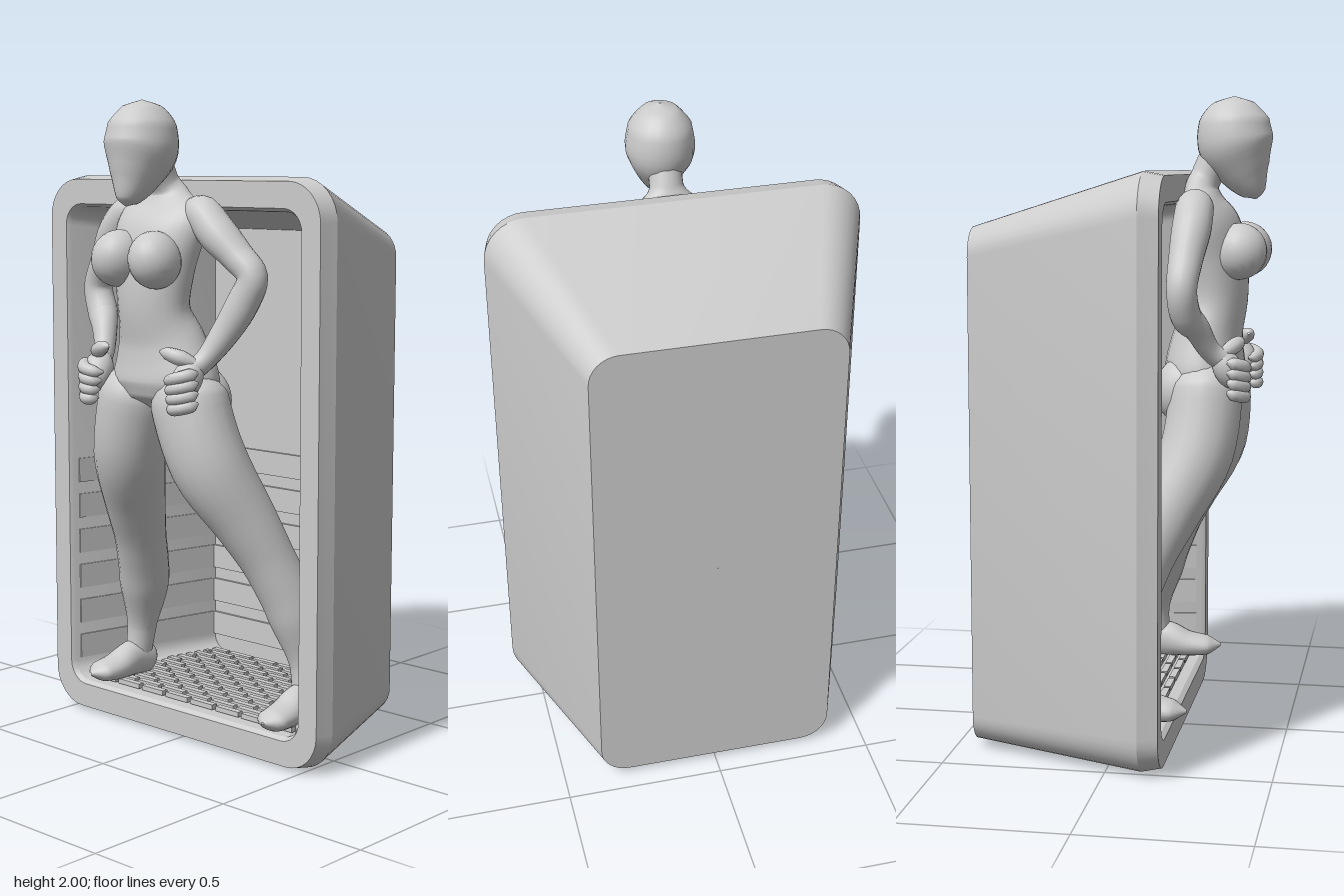
import * as THREE from 'three';
import { mergeGeometries, toCreasedNormals } from 'three/addons/utils/BufferGeometryUtils.js';

const material = new THREE.MeshStandardMaterial({ color: 0xcccccc, roughness: 0.8 });
const V = (x, y, z) => new THREE.Vector3(x, y, z);

function add(parent, name, geometry) {
  const mesh = new THREE.Mesh(geometry, material);
  mesh.name = name;
  parent.add(mesh);
  return mesh;
}

// Surface through closed rings that run clockwise about the direction of travel
function skin(rings) {
  const n = rings[0].length, index = [];
  for (let i = 0; i < rings.length - 1; i++) {
    for (let j = 0; j < n; j++) {
      const k = (j + 1) % n, a = i * n + j, b = i * n + k;
      index.push(a, a + n, b, b, a + n, b + n);
    }
  }
  const g = new THREE.BufferGeometry().setFromPoints(rings.flat());
  g.setIndex(index);
  g.computeVertexNormals();
  return g;
}

// Smooth body form through stations [x, y, z, radius across, radius toward ref]
function sweep(stations, ref = V(0, 0, 1), sides = 20, steps = 5) {
  const path = new THREE.CatmullRomCurve3(stations.map(s => V(s[0], s[1], s[2])));
  const size = new THREE.CatmullRomCurve3(stations.map(s => V(s[3], s[4], 0)));
  const rings = [], count = (stations.length - 1) * steps;
  for (let i = 0; i <= count; i++) {
    const c = path.getPoint(i / count), r = size.getPoint(i / count), t = path.getTangent(i / count);
    const u = t.clone().cross(ref).normalize(), v = u.clone().cross(t);
    const ring = [];
    for (let j = 0; j < sides; j++) {
      const a = j / sides * Math.PI * 2;
      ring.push(c.clone().addScaledVector(u, Math.max(r.x, 0.001) * Math.cos(a))
        .addScaledVector(v, Math.max(r.y, 0.001) * Math.sin(a)));
    }
    rings.push(ring);
  }
  return skin(rings);
}

// Rounded rectangle in a plane of constant z
function roundedRing(hw, y0, y1, r, z) {
  const ring = [], steps = 8;
  const corners = [[hw - r, y1 - r], [hw - r, y0 + r], [-hw + r, y0 + r], [-hw + r, y1 - r]];
  corners.forEach(([x, y], q) => {
    for (let i = 0; i <= steps; i++) {
      const a = Math.PI / 2 * (1 - q - i / steps);
      ring.push(V(x + r * Math.cos(a), y + r * Math.sin(a), z));
    }
  });
  return ring;
}

function ellipsoid(parent, name, pos, radii, rot = [0, 0, 0]) {
  const m = add(parent, name, new THREE.SphereGeometry(1, 20, 14));
  m.position.set(...pos);
  m.scale.set(...radii);
  m.rotation.set(...rot);
  return m;
}

function buildCase() {
  const box = new THREE.Group();
  box.name = 'case';
  // Outer shell, front rim and recess as one continuous skin
  const shell = skin([
    roundedRing(0.001, 0.8, 0.802, 0.0005, -0.435),
    roundedRing(0.38, 0.02, 1.61, 0.09, -0.435),
    roundedRing(0.583, 0, 1.775, 0.13, 0.11),
    roundedRing(0.57, 0.012, 1.763, 0.12, 0.17),
    roundedRing(0.50, 0.09, 1.685, 0.07, 0.17),
    roundedRing(0.49, 0.1, 1.675, 0.06, 0.155),
    roundedRing(0.37, 0.11, 1.595, 0.05, -0.4),
    roundedRing(0.001, 0.8, 0.802, 0.0005, -0.4),
  ]);
  add(box, 'shell', toCreasedNormals(shell, 0.4));

  // Horizontal slats on the back and side walls
  const slats = [];
  const sideAngle = Math.atan2(0.12, 0.555);
  for (let i = 0; i < 6; i++) {
    const y = 0.205 + i * 0.12;
    slats.push(new THREE.BoxGeometry(0.735, 0.08, 0.012).translate(0, y, -0.396));
    for (const s of [-1, 1]) {
      slats.push(new THREE.BoxGeometry(0.01, 0.08, 0.54).rotateY(s * sideAngle)
        .translate(s * 0.43, y, -0.125));
    }
  }
  add(box, 'wallSlats', mergeGeometries(slats));

  // Staggered floor grating
  const bars = [];
  for (let row = 0; row < 14; row++) {
    const z = -0.37 + row * 0.037, half = 0.36 + (z + 0.4) * 0.21 - 0.02;
    const offset = row % 2 ? 0.055 : 0;
    for (let x = -0.55 + offset; x < 0.6; x += 0.11) {
      const a = Math.max(x - 0.048, -half), b = Math.min(x + 0.048, half);
      if (b - a > 0.015) bars.push(new THREE.BoxGeometry(b - a, 0.016, 0.022).translate((a + b) / 2, 0.112, z));
    }
  }
  add(box, 'floorGrating', mergeGeometries(bars));
  return box;
}

function buildArm(side, elbow) {
  const arm = new THREE.Group();
  arm.name = side > 0 ? 'leftArm' : 'rightArm';
  const [ex, ey] = elbow;
  add(arm, 'armForm', sweep([
    [0.09, 1.68, 0.21, 0.03, 0.03], [0.15, 1.665, 0.215, 0.056, 0.058], [0.21, 1.61, 0.215, 0.058, 0.06],
    [(0.21 + ex) / 2 + 0.01, (1.6 + ey) / 2, 0.205, 0.048, 0.052], [ex, ey, 0.2, 0.046, 0.046],
    [ex - 0.03, ey - 0.08, 0.21, 0.05, 0.046], [0.255, 1.31, 0.235, 0.043, 0.04],
    [0.215, 1.235, 0.275, 0.032, 0.033], [0.195, 1.2, 0.32, 0.03, 0.035], [0.19, 1.19, 0.335, 0.002, 0.002],
  ].map(([x, ...rest]) => [side * x, ...rest])));

  // Closed hand resting on the hip
  const hand = new THREE.Group();
  hand.name = 'hand';
  ellipsoid(hand, 'palm', [side * 0.19, 1.18, 0.325], [0.048, 0.066, 0.045], [-0.5, 0, side * -0.2]);
  for (let i = 0; i < 4; i++) {
    add(hand, 'finger', sweep([
      [side * 0.237, 1.205 - i * 0.03, 0.325, 0.004, 0.004], [side * 0.226, 1.2 - i * 0.031, 0.345, 0.02, 0.02],
      [side * (0.2 - i * 0.003), 1.19 - i * 0.031, 0.374, 0.021, 0.02],
      [side * (0.16 + i * 0.004), 1.18 - i * 0.028, 0.368, 0.018, 0.018],
      [side * (0.14 + i * 0.008), 1.18 - i * 0.027, 0.35, 0.003, 0.003],
    ], V(0, 1, 0), 10, 3));
  }
  add(hand, 'thumb', sweep([
    [side * 0.215, 1.225, 0.305, 0.015, 0.015], [side * 0.175, 1.245, 0.335, 0.026, 0.024],
    [side * 0.135, 1.258, 0.352, 0.019, 0.019], [side * 0.108, 1.262, 0.355, 0.003, 0.003],
  ], V(0, 1, 0), 10, 4));
  arm.add(hand);
  return arm;
}

function buildLeg(name, stations, foot) {
  const leg = new THREE.Group();
  leg.name = name;
  add(leg, 'legForm', sweep(stations));
  add(leg, 'foot', sweep(foot, V(0, 1, 0)));
  return leg;
}

function buildFigure() {
  const figure = new THREE.Group();
  figure.name = 'figure';
  // Torso and neck
  add(figure, 'torso', sweep([
    [0.01, 1.055, 0.25, 0.01, 0.01], [0.01, 1.09, 0.24, 0.15, 0.1], [0.01, 1.16, 0.23, 0.195, 0.125],
    [0.005, 1.27, 0.24, 0.16, 0.108], [0, 1.38, 0.27, 0.125, 0.092], [0, 1.5, 0.265, 0.142, 0.095],
    [0, 1.6, 0.245, 0.165, 0.093], [0, 1.67, 0.222, 0.165, 0.07], [0, 1.725, 0.218, 0.09, 0.052],
    [0, 1.765, 0.235, 0.052, 0.05], [0, 1.86, 0.285, 0.052, 0.055],
  ], undefined, 28));
  for (const s of [-1, 1]) {
    ellipsoid(figure, 'breast', [s * 0.077, 1.53, 0.342], [0.078, 0.087, 0.087], [0.15, s * 0.2, s * 0.2]);
    ellipsoid(figure, 'buttock', [s * 0.095 + 0.01, 1.1, 0.175], [0.1, 0.105, 0.09]);
  }
  // Egg-shaped plain head
  add(figure, 'head', sweep([
    [0, 1.688, 0.385, 0.003, 0.003], [0, 1.705, 0.38, 0.032, 0.035], [0, 1.77, 0.35, 0.072, 0.08],
    [0, 1.86, 0.32, 0.107, 0.118], [0, 1.93, 0.315, 0.097, 0.108],
    [0, 1.982, 0.315, 0.055, 0.062], [0, 2.0, 0.315, 0.003, 0.003],
  ], undefined, 20));

  figure.add(buildArm(1, [0.338, 1.485]), buildArm(-1, [0.318, 1.425]));

  // Legs in a wide stance, leaning back into the case
  figure.add(buildLeg('leftLeg', [
    [0.1, 1.19, 0.24, 0.06, 0.07], [0.125, 1.1, 0.245, 0.125, 0.115], [0.185, 0.92, 0.225, 0.122, 0.118],
    [0.262, 0.74, 0.145, 0.098, 0.1], [0.315, 0.6, 0.085, 0.084, 0.085], [0.36, 0.45, 0.03, 0.082, 0.085],
    [0.39, 0.29, 0.01, 0.048, 0.05], [0.398, 0.2, 0.015, 0.042, 0.045], [0.398, 0.14, 0.02, 0.035, 0.04],
  ], [
    [0.39, 0.15, -0.05, 0.005, 0.005], [0.392, 0.16, -0.025, 0.04, 0.048], [0.398, 0.175, 0.04, 0.046, 0.06],
    [0.405, 0.158, 0.12, 0.055, 0.043], [0.412, 0.153, 0.19, 0.052, 0.032], [0.416, 0.155, 0.235, 0.005, 0.005],
  ]));
  figure.add(buildLeg('rightLeg', [
    [-0.09, 1.19, 0.24, 0.06, 0.07], [-0.11, 1.1, 0.245, 0.115, 0.115], [-0.155, 0.92, 0.225, 0.113, 0.115],
    [-0.213, 0.74, 0.145, 0.096, 0.1], [-0.25, 0.6, 0.085, 0.083, 0.085], [-0.29, 0.45, 0.03, 0.08, 0.085],
    [-0.323, 0.29, 0.01, 0.05, 0.05], [-0.332, 0.2, 0.015, 0.042, 0.045], [-0.334, 0.14, 0.02, 0.035, 0.04],
  ], [
    [-0.33, 0.15, -0.05, 0.005, 0.005], [-0.33, 0.16, -0.025, 0.04, 0.048], [-0.334, 0.175, 0.04, 0.046, 0.06],
    [-0.339, 0.158, 0.12, 0.055, 0.043], [-0.345, 0.153, 0.18, 0.052, 0.032], [-0.348, 0.153, 0.225, 0.005, 0.005],
  ]));
  return figure;
}

export function createModel() {
  const model = new THREE.Group();
  model.name = 'figureInCase';
  model.add(buildCase(), buildFigure());
  return model;
}
